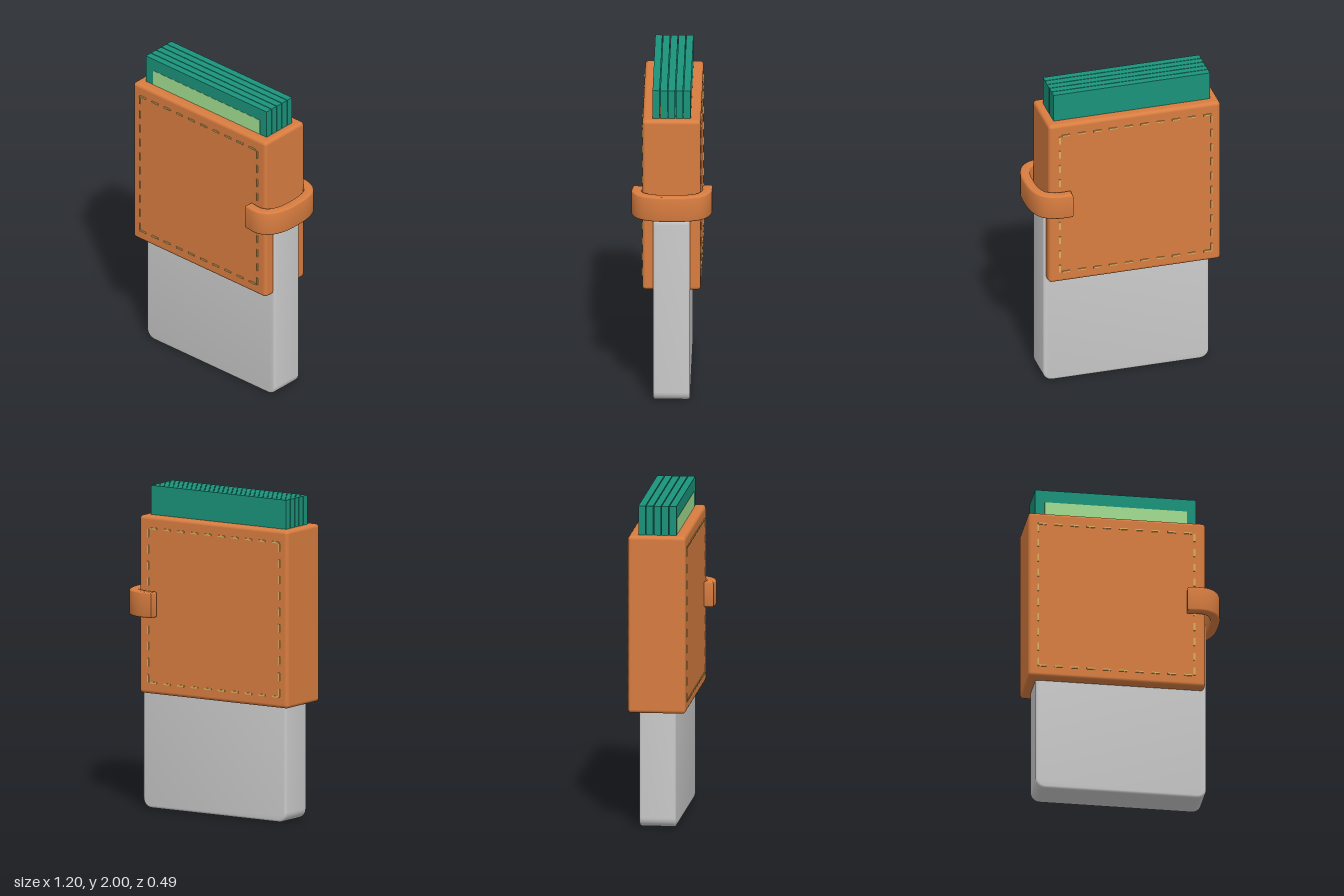
import * as THREE from 'three';
import { RoundedBoxGeometry } from 'three/addons/geometries/RoundedBoxGeometry.js';
import { toCreasedNormals } from 'three/addons/utils/BufferGeometryUtils.js';

const mat = (color) => new THREE.MeshStandardMaterial({ color });
const leather = mat(0xd87d40), thread = mat(0xd9b060), teal = mat(0x1a937a), pale = mat(0xa2de90), grey = mat(0xcccccc);

function add(parent, name, geometry, material, x = 0, y = 0, z = 0) {
  const mesh = new THREE.Mesh(geometry, material);
  mesh.name = name;
  mesh.position.set(x, y, z);
  parent.add(mesh);
  return mesh;
}

// Extrusion centred on its depth; the bevel stays inside the given outline
function bevelled(shape, depth, bevel) {
  const g = new THREE.ExtrudeGeometry(shape, {
    depth: depth - 2 * bevel, bevelSize: bevel, bevelThickness: bevel,
    bevelOffset: -bevel, bevelSegments: 3, curveSegments: 8,
  });
  g.translate(0, 0, bevel - depth / 2);
  return toCreasedNormals(g, 0.6);
}

function roundedRect(w, h, r) {
  const x = w / 2, y = h / 2, s = new THREE.Shape();
  s.absarc(x - r, y - r, r, 0, Math.PI / 2);
  s.absarc(r - x, y - r, r, Math.PI / 2, Math.PI);
  s.absarc(r - x, r - y, r, Math.PI, Math.PI * 1.5);
  s.absarc(x - r, r - y, r, Math.PI * 1.5, Math.PI * 2);
  s.closePath();
  return s;
}

export function createModel() {
  const model = new THREE.Group();

  // Lower slab, pushed into the sleeve and showing a little at its side
  add(model, 'innerBody', bevelled(roundedRect(1.056, 1.21, 0.06), 0.226, 0.015), grey, -0.018, 0.605, 0);

  // Leather sleeve
  add(model, 'sleeve', new RoundedBoxGeometry(1.094, 1.1, 0.356, 4, 0.022), leather, -0.053, 1.27, 0);

  // Stack of cards, each with a pale front panel
  const cards = new THREE.Group();
  cards.name = 'cards';
  model.add(cards);
  for (let i = 0; i < 5; i++) {
    const z = (i - 2) * 0.0475;
    add(cards, 'card', new THREE.BoxGeometry(0.995, 0.9, 0.043), teal, -0.0515, 1.55, z);
    add(cards, 'cardPanel', new THREE.BoxGeometry(0.88, 0.8, 0.002), pale, -0.05, 1.52, z + 0.022);
  }

  // Dashed stitching round both faces
  const stitches = new THREE.Group();
  stitches.name = 'stitches';
  model.add(stitches);
  const left = -0.54, right = 0.425, low = 0.79, high = 1.745, dash = 0.05;
  const across = new THREE.BoxGeometry(dash, 0.01, 0.012);
  const upright = new THREE.BoxGeometry(0.01, dash, 0.012);
  for (const z of [-0.178, 0.178]) {
    for (let i = 0; i < 10; i++) {
      for (const y of [low, high]) add(stitches, 'stitch', across, thread, left + dash / 2 + i * 0.1, y, z);
      for (const x of [left, right]) add(stitches, 'stitch', upright, thread, x, low + dash / 2 + i * 0.1, z);
    }
  }

  // Strap: a band of even thickness along a curve (x, -z), bent round the side
  const path = new THREE.CatmullRomCurve3([
    [0.377, -0.206], [0.47, -0.214], [0.53, -0.18], [0.564, -0.1], [0.57, 0],
    [0.562, 0.1], [0.53, 0.175], [0.46, 0.213], [0.358, 0.218],
  ].map(([x, y]) => new THREE.Vector3(x, y, 0)));
  const outer = [], inner = [];
  for (let i = 0; i <= 32; i++) {
    const p = path.getPointAt(i / 32), t = path.getTangentAt(i / 32);
    outer.push(new THREE.Vector2(p.x + t.y * 0.03, p.y - t.x * 0.03));
    inner.push(new THREE.Vector2(p.x - t.y * 0.03, p.y + t.x * 0.03));
  }
  const strap = bevelled(new THREE.Shape([...outer, ...inner.reverse()]), 0.16, 0.012);
  strap.rotateX(-Math.PI / 2);
  add(model, 'strap', strap, leather, 0, 1.28, 0);

  return model;
}
